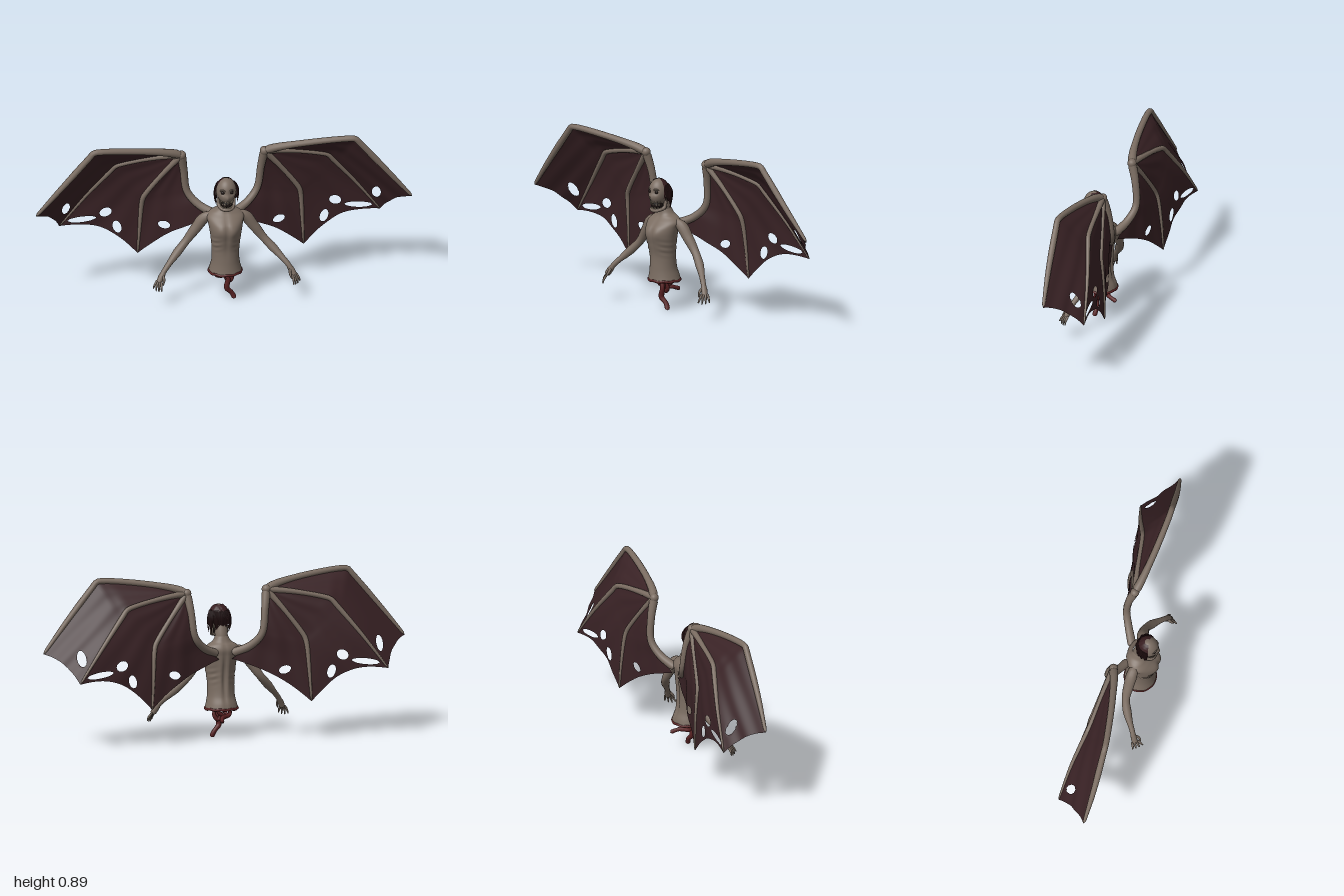
import * as THREE from 'three';
import { mergeVertices } from 'three/addons/utils/BufferGeometryUtils.js';

const mat = (name, color, side = THREE.FrontSide) => {
  const m = new THREE.MeshStandardMaterial({ color, side });
  m.name = name;
  return m;
};
const V = (x, y, z) => new THREE.Vector3(x, y, z);
const lerpList = (list, t) => {
  const f = Math.min(Math.max(t, 0), 1) * (list.length - 1), i = Math.min(Math.floor(f), list.length - 2);
  return THREE.MathUtils.lerp(list[i], list[i + 1], f - i);
};
const bump = (d, w) => Math.exp(-(d * d) / (w * w));

export function createModel() {
  const skin = mat('ashen skin', 0x7a6c61);
  const membraneMat = mat('wing membrane', 0x392225, THREE.DoubleSide);
  const hairMat = mat('dark hair', 0x371d1f, THREE.DoubleSide);
  const gore = mat('raw flesh', 0x582122, THREE.DoubleSide);
  const dark = mat('dark hollows', 0x1f1614);
  const ivory = mat('teeth', 0xb5a58f);

  const model = new THREE.Group();
  model.name = 'wingedTorso';
  const add = (parent, name, geo, material) => {
    const m = new THREE.Mesh(geo, material);
    m.name = name;
    parent.add(m);
    return m;
  };
  const group = (name) => {
    const g = new THREE.Group();
    g.name = name;
    model.add(g);
    return g;
  };
  const path = (pts, s = 1) => new THREE.CatmullRomCurve3(pts.map(([x, y, z]) => V(x * s, y, z)), false, 'centripetal');

  // Tube with varying radius and rounded ends
  const limb = (curve, radii, segs = 28, sides = 10) => {
    const geo = new THREE.TubeGeometry(curve, segs, 1, sides);
    const pos = geo.attributes.position, p = V(0, 0, 0);
    for (let i = 0; i <= segs; i++) {
      const t = i / segs, c = curve.getPointAt(t);
      const cap = Math.sqrt(Math.min(1, t * segs / 1.5, (1 - t) * segs / 1.5));
      for (let j = 0; j <= sides; j++) {
        const k = i * (sides + 1) + j;
        p.fromBufferAttribute(pos, k).sub(c).multiplyScalar(lerpList(radii, t) * cap + 1e-5).add(c);
        pos.setXYZ(k, p.x, p.y, p.z);
      }
    }
    return geo;
  };
  // Apply a rule to every vertex and smooth across the seam
  const reshape = (geo, rule) => {
    geo.deleteAttribute('uv');
    geo.deleteAttribute('normal');
    const p = V(0, 0, 0);
    for (let i = 0, a = geo.attributes.position; i < a.count; i++) {
      rule(p.fromBufferAttribute(a, i));
      a.setXYZ(i, p.x, p.y, p.z);
    }
    const out = mergeVertices(geo, 1e-5);
    out.computeVertexNormals();
    return out;
  };

  // Torso: rows of height, half width, back z, front z
  const rows = [[.16, .09, -.027, .143], [.19, .082, -.02, .139], [.23, .074, -.005, .136], [.3, .073, .004, .137],
    [.36, .079, .002, .152], [.41, .086, -.005, .163], [.45, .093, -.01, .153], [.48, .099, -.013, .126],
    [.503, .08, -.005, .103], [.522, .05, .008, .094], [.55, .033, .02, .09]];
  const widths = path(rows.map((r) => [r[0], r[1], 0])), depths = path(rows.map((r) => [r[0], r[2], r[3]]));
  add(model, 'torso', reshape(new THREE.CylinderGeometry(1, 1, 1, 56, 80, true), (p) => {
    const t = p.y + .5, w = widths.getPoint(t), d = depths.getPoint(t), nx = p.x, nz = p.z, y = w.x;
    const front = Math.max(nz, 0), back = Math.max(-nz, 0);
    p.set(nx * w.y, y, (d.y + d.z) / 2 + nz * (d.z - d.y) / 2);
    p.z += front * .007 * (bump(Math.abs(p.x) - .04, .025) * bump(y - .425, .03) - bump(p.x, .012) * bump(y - .4, .1));
    p.z += back * .008 * (bump(p.x, .01) - bump(Math.abs(p.x) - .02, .012)) * bump(y - .34, .12);
    const rib = .0016 * Math.sin(y * 200 + Math.abs(nx) * 5) * bump(y - .34, .04) * bump(Math.abs(nx) - .75, .3);
    p.x += Math.sign(nx) * rib;
    p.z += Math.sign(nz) * rib;
  }), skin);
  add(model, 'neck', limb(path([[0, .49, .052], [0, .55, .058], [0, .62, .08]]), [.038, .034, .036], 20, 16), skin);
  for (const s of [-1, 1])
    add(model, 'collarbone', limb(path([[.012, .497, .098], [.05, .497, .086], [.09, .486, .055]], s), [.006, .007, .009], 16, 8), skin);

  // Torn waist and hanging entrails
  const waist = group('tornWaist');
  add(waist, 'tornRim', reshape(new THREE.TorusGeometry(1, .07, 8, 48), (p) => {
    const a = Math.atan2(p.y, p.x);
    p.set(p.x * .087, .163 + p.z * .11 + .002 * Math.sin(a * 9), .058 + p.y * .082);
  }), gore);
  add(waist, 'innerFlesh', reshape(new THREE.SphereGeometry(1, 32, 16), (p) => {
    p.set(p.x * .084, .16 + p.y * .012, .058 + p.z * .08);
  }), gore);
  [[[[.0, .17, .08], [.012, .12, .085], [.005, .07, .085], [.03, .04, .078], [.042, .018, .08], [.046, .004, .084]], .014],
    [[[-.01, .16, .07], [-.025, .125, .05], [.01, .115, .01], [.025, .1, -.034]], .012],
    [[[-.04, .165, .05], [-.045, .13, .05], [-.02, .12, .035], [.02, .14, .03], [.03, .165, .03]], .011],
    [[[.03, .165, .08], [.035, .12, .07], [.015, .1, .065], [-.005, .14, .06]], .011]]
    .forEach(([pts, r]) => add(waist, 'entrail', limb(path(pts), [r, r * .85, r * 1.1, r * .85, r], 30), gore));

  // Head
  const head = group('head');
  add(head, 'skull', reshape(new THREE.SphereGeometry(1, 40, 32), (p) => {
    const low = Math.max(-p.y, 0), front = Math.max(p.z, 0), x = p.x, y = p.y;
    p.set(x * .053 * (1 - .25 * low * front), .642 + y * .07, .102 + p.z * .055 + front * low * .016);
    p.z -= .012 * front * bump(Math.abs(x) - .45, .22) * bump(y - .05, .2);
    p.z += .008 * front * bump(x, .16) * bump(y + .36, .2);
  }), skin);
  add(head, 'mouthHollow', new THREE.SphereGeometry(1, 20, 14).scale(.032, .024, .032).translate(0, .573, .115), dark);
  add(head, 'lowerJaw', limb(path([[-.042, .6, .09], [-.04, .56, .1], [-.028, .548, .128], [0, .545, .14], [.028, .548, .128],
    [.04, .56, .1], [.042, .6, .09]]), [.009, .01, .009, .011, .009, .01, .009], 36), skin);
  add(head, 'chinFloor', new THREE.SphereGeometry(1, 20, 12).scale(.033, .011, .038).translate(0, .55, .1), skin);
  for (const s of [-1, 1]) {
    add(head, 'eyeSocket', new THREE.SphereGeometry(1, 16, 12).scale(.011, .009, .006).translate(.023 * s, .646, .143), dark);
    add(head, 'brow', limb(path([[.006, .658, .151], [.024, .662, .148], [.042, .655, .13]], s), [.003, .004, .003], 14, 8), skin);
    add(head, 'ear', new THREE.SphereGeometry(1, 12, 10).scale(.006, .016, .01).translate(.053 * s, .63, .098), skin);
  }
  for (let i = -5; i <= 5; i++) {
    const a = i * .25, x = .034 * Math.sin(a), z = .116 + .033 * Math.cos(a);
    add(head, 'upperTooth', new THREE.ConeGeometry(.0032, .026, 6).rotateX(Math.PI).translate(x, .584, z), ivory);
    add(head, 'lowerTooth', new THREE.ConeGeometry(.0032, .022, 6).translate(x * .92, .562, z - .005), ivory);
  }

  // Hair: back cap and ragged strands, longer on the left
  let seed = 7;
  const rnd = () => (seed = (seed * 16807) % 2147483647) / 2147483647;
  add(head, 'hairCap', reshape(new THREE.SphereGeometry(1, 40, 20, Math.PI * .93, Math.PI * 1.14, Math.PI * .1, Math.PI * .54), (p) => {
    const k = 1 + .035 * Math.sin(p.x * 17 + p.y * 5) * Math.sin(p.y * 9 + p.z * 7);
    p.set(p.x * .056 * k, .643 + p.y * .072, .102 + p.z * .06 * k);
  }), hairMat);
  for (let i = 0; i < 32; i++) {
    const a = Math.PI * (.97 + 1.06 * i / 31), x = -Math.cos(a), z = Math.sin(a), left = Math.max(x, 0);
    const r = 1 + rnd() * (.1 + .18 * left), end = .555 + rnd() * .06 - .01 * left;
    add(head, 'hairStrand', limb(path([[x * .05, .685, .1 + z * .05], [x * .057 * r, .645, .1 + z * .058 * r],
      [x * .058 * r, .605, .1 + z * .056 * r], [x * .052 * r + rnd() * .012 - .004, end, .095 + z * .045]]), [.003, .004, .004, .001], 14, 5), hairMat);
  }

  // Arms and hands
  for (const s of [-1, 1]) {
    const arm = group(s > 0 ? 'leftArm' : 'rightArm');
    add(arm, 'armLimb', limb(path([[.055, .478, .048], [.105, .466, .042], [.155, .4, .035], [.205, .33, .033], [.265, .265, .06],
      [.325, .2, .1], [.345, .172, .112]], s), [.022, .031, .027, .021, .023, .015, .013], 40, 14), skin);
    add(arm, 'palm', limb(path([[.33, .192, .103], [.345, .168, .113], [.361, .138, .124]], s), [.013, .017, .015], 14), skin);
    for (let i = 0; i < 4; i++) {
      const k = i - 1.5;
      add(arm, 'finger', limb(path([[.357 + k * .006, .148, .121 - k * .008], [.368 + k * .011, .12, .136 - k * .012],
        [.37 + k * .013, .09 + Math.abs(k) * .007, .142 - k * .016]], s), [.0065, .006, .003], 14, 8), skin);
    }
    add(arm, 'thumb', limb(path([[.338, .178, .115], [.335, .155, .138], [.343, .13, .152]], s), [.008, .007, .003], 14, 8), skin);
  }

  // Wings
  const wrist = [.22, .8, -.03];
  const holes = [[.825, .492, .022, .04, 0], [.735, .406, .075, .016, -.12], [.61, .446, .033, .026, -.4],
    [.55, .36, .022, .036, -.3], [.305, .375, .033, .021, .3]];
  const panel = (a, b, scallop, sag, s) => {
    const nu = 56, nv = 72, pos = [], idx = [], inside = [];
    for (let i = 0; i <= nu; i++) for (let j = 0; j <= nv; j++) {
      const u = i / nu, arch = 4 * u * (1 - u), v = j / nv * (1 - scallop * arch);
      const p = a.getPointAt(v).lerp(b.getPointAt(v), u);
      p.z -= sag * Math.sin(Math.PI * u) * Math.sin(Math.PI * v) + .004 * Math.sin(u * 14 + v * 9) * arch * v;
      // Vertices inside a hole slide to its rim
      let hit = 0;
      for (const [hx, hy, rx, ry, tilt] of holes) {
        const c = Math.cos(tilt), n = Math.sin(tilt), dx = p.x * s - hx, dy = p.y - hy;
        const ex = (dx * c + dy * n) / rx, ey = (dy * c - dx * n) / ry, r = Math.hypot(ex, ey);
        if (r < 1 && r > 0) {
          hit = 1;
          p.x = s * (hx + (ex * rx * c - ey * ry * n) / r);
          p.y = hy + (ex * rx * n + ey * ry * c) / r;
        }
      }
      pos.push(p.x, p.y, p.z);
      inside.push(hit);
    }
    for (let i = 0; i < nu; i++) for (let j = 0; j < nv; j++) {
      const q = i * (nv + 1) + j, w = q + nv + 1;
      for (const tri of [[q, w, q + 1], [w, w + 1, q + 1]])
        if (!tri.every((k) => inside[k])) idx.push(...tri);
    }
    const geo = new THREE.BufferGeometry();
    geo.setAttribute('position', new THREE.Float32BufferAttribute(pos, 3));
    geo.setIndex(idx);
    geo.computeVertexNormals();
    return geo;
  };
  for (const s of [-1, 1]) {
    const wing = group(s > 0 ? 'leftWing' : 'rightWing');
    const edge = path([wrist, [.28, .823, -.012], [.45, .855, .02], [.66, .876, .045], [.695, .872, .046], [.722, .842, .044],
      [.86, .678, .032], [1, .508, .012]], s);
    const outer = path([wrist, [.36, .784, -.05], [.525, .75, -.07], [.565, .735, -.077], [.595, .7, -.087], [.72, .545, -.13],
      [.853, .366, -.163]], s);
    const inner = path([wrist, [.31, .69, -.06], [.395, .575, -.085], [.415, .54, -.092], [.423, .5, -.1], [.432, .36, -.115],
      [.441, .203, -.124]], s);
    const arm = [wrist, [.205, .7, -.055], [.185, .57, -.065], [.13, .505, -.04]];
    add(wing, 'armBone', limb(path([...arm, [.04, .46, .005]], s), [.024, .02, .019, .021, .024], 40, 12), skin);
    add(wing, 'wristJoint', new THREE.SphereGeometry(.024, 18, 14).translate(wrist[0] * s, wrist[1], wrist[2]), skin);
    add(wing, 'leadingBone', limb(edge, [.024, .018, .017, .016, .017, .014, .008], 70, 12), skin);
    add(wing, 'outerFinger', limb(outer, [.018, .013, .014, .01, .005], 54), skin);
    add(wing, 'innerFinger', limb(inner, [.018, .013, .014, .01, .005], 54), skin);
    add(wing, 'outerMembrane', panel(edge, outer, .03, .004, s), membraneMat);
    add(wing, 'middleMembrane', panel(outer, inner, .1, .008, s), membraneMat);
    // The inner web runs past the arm bone onto the back
    add(wing, 'innerMembrane', panel(inner, path([...arm, [.035, .435, -.016]], s), .06, .008, s), membraneMat);
  }
  return model;
}
